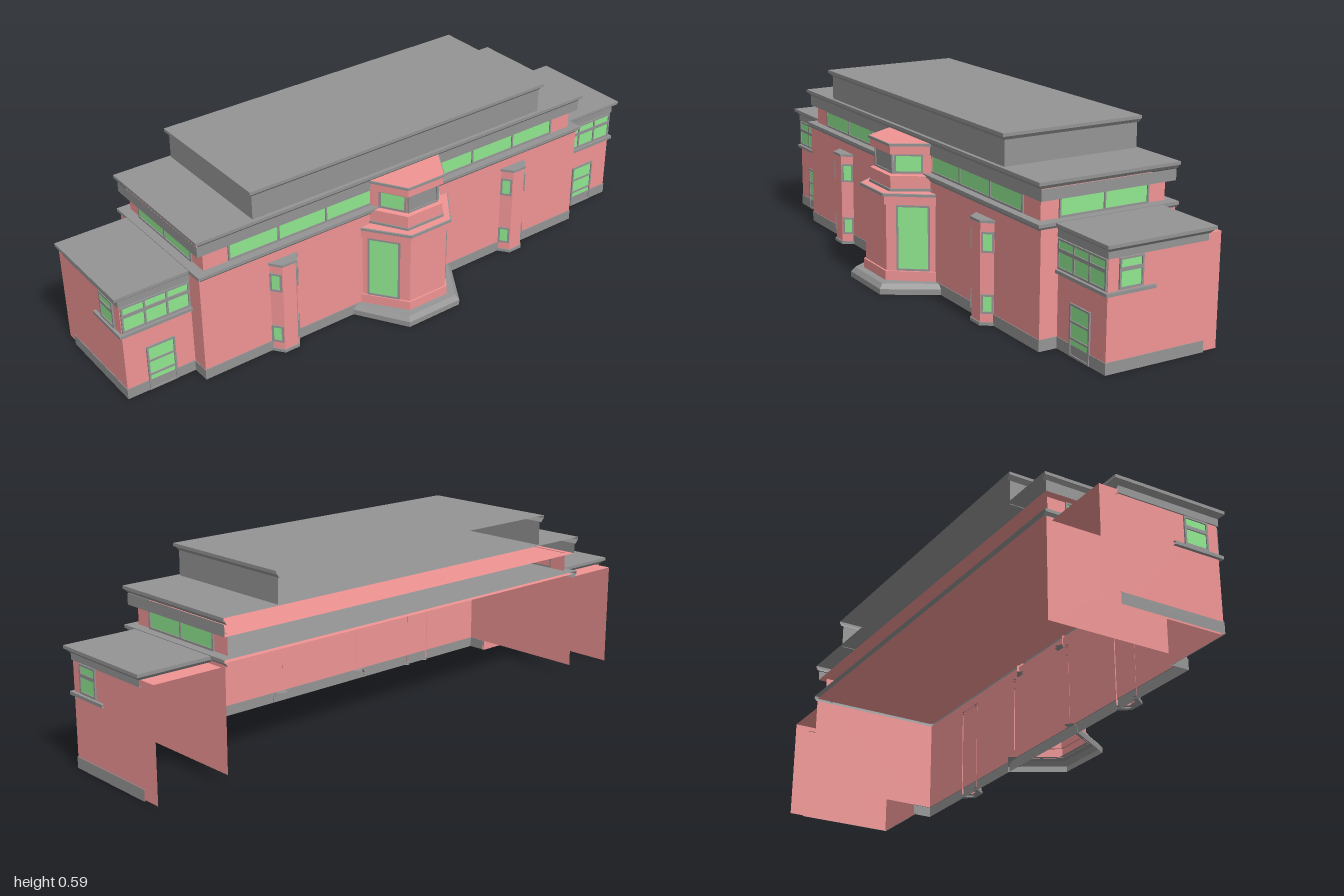
import * as THREE from 'three';

const mat = (color) => new THREE.MeshStandardMaterial({ color, side: THREE.DoubleSide, flatShading: true });

// Plan path moved outwards by d with mitred corners; points are [x, z]
function offset(path, d) {
  const normals = path.slice(1).map(([x, z], i) => {
    const dx = x - path[i][0], dz = z - path[i][1], l = Math.hypot(dx, dz);
    return [-dz / l, dx / l];
  });
  return path.map(([x, z], i) => {
    const a = normals[Math.max(i - 1, 0)], b = normals[Math.min(i, normals.length - 1)];
    const k = d / (1 + a[0] * b[0] + a[1] * b[1]);
    return [x + (a[0] + b[0]) * k, z + (a[1] + b[1]) * k];
  });
}

export function createModel() {
  const model = new THREE.Group();
  const brick = mat(0xf09494), stone = mat(0x949494), glass = mat(0x90e890);

  const add = (name, geometry, material, parent = model) => {
    const mesh = new THREE.Mesh(geometry, material);
    mesh.name = name;
    parent.add(mesh);
    return mesh;
  };

  // Wall or moulding: profile of [outward, y] points swept along a plan path
  const sweep = (name, m, path, profile) => {
    const n = path.length, pos = [], index = [];
    for (const [d, y] of profile) for (const [x, z] of offset(path, d)) pos.push(x, y, z);
    for (let j = 0; j < profile.length - 1; j++) for (let i = 0; i < n - 1; i++) {
      const a = j * n + i;
      index.push(a, a + 1, a + n + 1, a, a + n + 1, a + n);
    }
    const indexed = new THREE.BufferGeometry();
    indexed.setAttribute('position', new THREE.Float32BufferAttribute(pos, 3));
    indexed.setIndex(index);
    const g = indexed.toNonIndexed();
    g.computeVertexNormals();
    return add(name, g, m);
  };

  // Flat cover over a plan path
  const lid = (name, m, path, d, y) => {
    const shape = new THREE.Shape(offset(path, d).map(([x, z]) => new THREE.Vector2(x, -z)));
    const mesh = add(name, new THREE.ShapeGeometry(shape), m);
    mesh.rotation.x = -Math.PI / 2;
    mesh.position.y = y;
  };

  // Flared cornice with its roof, ending at height y
  const roof = (name, path, y, out = 0.013) => {
    sweep(name + 'Cornice', stone, path, [[0, y - 0.022], [out - 0.003, y - 0.01], [out, y - 0.01], [out, y]]);
    lid(name, stone, path, out, y);
  };

  // Projecting course with closed underside and top edge
  const course = (name, m, path, d, y0, y1) =>
    sweep(name, m, path, [[-0.01, y0], [d, y0], [d, y1], [-0.01, y1]]);

  // Framed window on one segment of a path, centred at fraction t; rows are pane limits [y0, y1]
  const windowOn = (name, path, seg, t, w, rows, cols = 1, pane = glass) => {
    const edge = 0.006, y0 = rows[0][0] - edge, y1 = rows[rows.length - 1][1] + edge;
    const rect = (C, a, b, c, d) => new C().moveTo(a, c).lineTo(b, c).lineTo(b, d).lineTo(a, d).closePath();
    const frame = rect(THREE.Shape, -w / 2, w / 2, y0, y1);
    const step = (w - edge) / cols;
    for (const [a, b] of rows) for (let i = 0; i < cols; i++) {
      const x = -w / 2 + edge + i * step;
      frame.holes.push(rect(THREE.Path, x, x + step - edge, a, b));
    }
    const g = new THREE.Group();
    g.name = name;
    add('windowFrame', new THREE.ExtrudeGeometry(frame, { depth: 0.005, bevelEnabled: false }), stone, g);
    const sheet = add('windowPane', new THREE.PlaneGeometry(w - 0.002, y1 - y0 - 0.002), pane, g);
    sheet.position.set(0, (y0 + y1) / 2, 0.0015);
    const [p, q] = [path[seg], path[seg + 1]];
    g.position.set(p[0] + (q[0] - p[0]) * t, 0, p[1] + (q[1] - p[1]) * t);
    g.rotation.y = Math.atan2(p[1] - q[1], q[0] - p[0]);
    model.add(g);
  };

  // Plan paths run from left of the picture plane to right, open at the back
  const plan = (wb, wf, zb, zf, cx = 0) => [[cx - wb, zb], [cx - wf, zf], [cx + wf, zf], [cx + wb, zb]];
  const block = (x, zf, zb) => plan(x, x, zb, zf);

  // Main hall
  const hall = block(0.75, 0.155, -0.31);
  sweep('hallWall', brick, hall, [[0, 0.035], [0, 0.355]]);
  sweep('hallBase', stone, block(0.752, 0.157, 0.09), [[0, 0], [0, 0.035], [-0.003, 0.035]]);
  lid('hallCeiling', brick, hall, 0, 0.362);
  roof('hallRoof', block(0.746, 0.155, -0.318), 0.373, 0.012);

  // Clerestory with strip windows
  const clerestory = block(0.725, 0.14, -0.29);
  sweep('clerestoryWall', brick, clerestory, [[0, 0.37], [0, 0.437]]);
  for (const s of [-1, 1]) windowOn('clerestoryFrontWindow', clerestory, 1, 0.5 + s * 0.261, 0.525, [[0.381, 0.428]], 3);
  windowOn('clerestorySideWindow', clerestory, 0, 0.5, 0.31, [[0.379, 0.428]], 2);
  windowOn('clerestorySideWindow', clerestory, 2, 0.5, 0.31, [[0.379, 0.428]], 2);
  lid('clerestoryCeiling', brick, hall, 0, 0.435);

  // Stepped roofs
  sweep('lowerRoofBand', stone, hall, [[0, 0.435], [0, 0.47]]);
  roof('lowerRoof', block(0.746, 0.155, -0.318), 0.492, 0.012);
  const upper = block(0.56, 0.155, -0.31);
  sweep('upperRoofBand', stone, upper, [[0, 0.49], [0, 0.571]]);
  roof('upperRoof', block(0.56, 0.155, -0.318), 0.592, 0.012);

  for (const s of [-1, 1]) {
    // End wings: front wall and outer side wall
    const side = (...pts) => (s > 0 ? pts : pts.map(([x, z]) => [-x, z]).reverse());
    const wing = side([0.75, 0.095], [0.98, 0.095], [0.98, -0.24]);
    const [front, flank] = s > 0 ? [0, 1] : [1, 0];
    const along = (t) => (s > 0 ? t : 1 - t);
    sweep('wingWall', brick, wing, [[0, 0], [0, 0.345]]);
    const inner = side([0.75, 0.09], [0.974, 0.09], [0.974, -0.292]);
    sweep('wingInnerWall', brick, inner, [[0, 0], [0, 0.345]]);
    lid('wingCeiling', brick, side([0.75, 0.09], [0.974, 0.09], [0.974, -0.292], [0.75, -0.292]), 0, 0.345);
    sweep('wingBase', stone, wing, [[0.002, 0], [0.002, 0.035], [0, 0.035]]);
    course('wingFascia', stone, wing, 0.004, 0.328, 0.355);
    roof('wingRoof', side([0.75, 0.097], [0.986, 0.097], [0.986, -0.242], [0.75, -0.242]), 0.371, 0.014);
    course('wingSill', stone, side([0.75, 0.095], [0.98, 0.095], [0.98, -0.06]), 0.01, 0.224, 0.234);
    const rows = [[0.243, 0.287], [0.298, 0.32]];
    windowOn('wingFrontWindow', wing, front, along(0.5), 0.225, rows, 3);
    windowOn('wingSideWindow', wing, flank, along(0.225), 0.08, rows);
    windowOn('wingDoor', wing, front, along(0.485), 0.095, [[0.007, 0.052], [0.058, 0.101], [0.107, 0.15]]);

    // Slim bays on the front wall
    const slim = plan(0.05, 0.024, 0.153, 0.188, s * 0.462);
    sweep('slimBay', brick, slim, [[0, 0.01], [0, 0.314]]);
    course('slimBayBase', stone, slim, 0.004, 0, 0.01);
    course('slimBayCap', stone, slim, 0.004, 0.314, 0.322);
    lid('slimBayTop', stone, slim, 0, 0.322);
    for (const seg of [0, 2]) for (const row of [[0.043, 0.09], [0.23, 0.281]])
      windowOn('slimBayWindow', slim, seg, 0.5, 0.038, [row]);
  }

  // Central bay, lower storey
  const bay = plan(0.165, 0.072, 0.153, 0.28);
  sweep('bayFooting', stone, plan(0.205, 0.102, 0.153, 0.32),
    [[0, 0], [0, 0.018], [-0.012, 0.033], [-0.045, 0.035]]);
  sweep('bayPlinth', brick, bay, [[0.006, 0.033], [0.006, 0.065], [0, 0.065]]);
  sweep('bayBody', brick, bay, [[0, 0.065], [0, 0.282]]);
  windowOn('bayWindow', bay, 0, 0.46, 0.105, [[0.073, 0.274]]);
  windowOn('bayWindow', bay, 2, 0.54, 0.105, [[0.073, 0.274]]);
  course('bayFrieze', brick, bay, 0.008, 0.282, 0.31);
  course('bayCap', stone, bay, 0.014, 0.31, 0.318);
  lid('bayTop', brick, bay, 0.01, 0.319);

  // Central bay, upper storey
  const upperBay = plan(0.124, 0.06, 0.14, 0.246);
  course('upperBayFoot', stone, upperBay, 0.02, 0.32, 0.328);
  sweep('upperBayParapet', brick, upperBay, [[0.016, 0.328], [0.016, 0.368], [0, 0.37]]);
  sweep('upperBayBody', brick, upperBay, [[0, 0.37], [0, 0.437]]);
  windowOn('upperBayWindow', upperBay, 0, 0.62, 0.09, [[0.38, 0.429]]);
  windowOn('upperBayWindow', upperBay, 2, 0.38, 0.09, [[0.38, 0.429]]);
  windowOn('upperBayPanel', upperBay, 1, 0.5, 0.118, [[0.378, 0.43]], 1, stone);
  course('upperBayFrieze', brick, upperBay, 0.015, 0.437, 0.463);
  course('upperBayCap', stone, upperBay, 0.02, 0.463, 0.471);
  lid('upperBayTop', brick, upperBay, 0.017, 0.472);

  return model;
}
